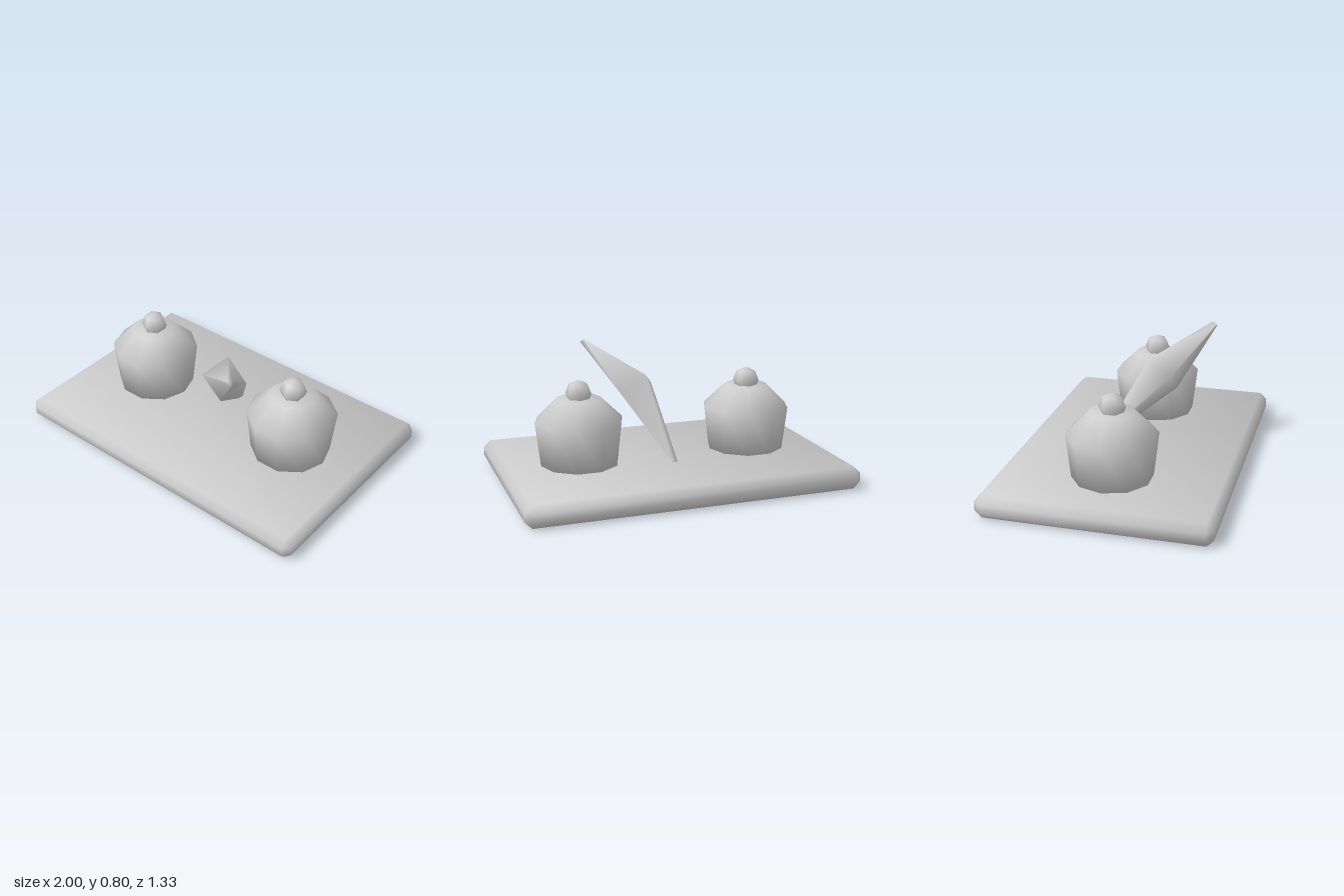
import * as THREE from 'three';
import { ConvexGeometry } from 'three/addons/geometries/ConvexGeometry.js';

const V = (x, y, z) => new THREE.Vector3(x, y, z);

// Slab with chamfered edges and soft normals
function chamferedSlab(half, bevel) {
  const points = [];
  for (const sx of [-1, 1]) for (const sy of [-1, 1]) for (const sz of [-1, 1])
    for (let axis = 0; axis < 3; axis++) {
      const p = half.clone().subScalar(bevel);
      p.setComponent(axis, half.getComponent(axis));
      points.push(p.multiply(V(sx, sy, sz)));
    }
  const geo = new ConvexGeometry(points);
  const pos = geo.attributes.position;
  for (let i = 0; i < pos.count; i++) {
    const n = V(0, 0, 0);
    for (let a = 0; a < 3; a++) {
      const c = pos.getComponent(i, a);
      const outer = Math.abs(c) > half.getComponent(a) - bevel / 2;
      n.setComponent(a, Math.sign(c) * (outer ? 3 : 1.28));
    }
    n.normalize();
    geo.attributes.normal.setXYZ(i, n.x, n.y, n.z);
  }
  return geo;
}

// Bent four-sided spindle: a full ring in the middle, small rings at the ends
function bentSpindle() {
  const middle = [V(0.02, 0.54, 0.2), V(0.1, 0.62, 0.05), V(0.25, 0.507, 0.07), V(0.173, 0.425, 0.212)];
  const centre = V(0.136, 0.523, 0.133);
  const rings = [[V(0.0, 0.135, -0.195), 0.15], [centre, 1], [V(0.397, 0.783, 0.397), 0.15]];
  const verts = [], index = [];
  for (const [c, s] of rings)
    for (const m of middle) verts.push(m.clone().sub(centre).multiplyScalar(s).add(c));
  for (let r = 0; r < 2; r++)
    for (let i = 0; i < 4; i++) {
      const a = r * 4 + i, b = r * 4 + (i + 1) % 4;
      index.push(a, a + 4, b, b, a + 4, b + 4);
    }
  index.push(0, 1, 2, 0, 2, 3, 8, 10, 9, 8, 11, 10);
  // Turn the faces outward if the ring runs the other way round
  const [p, q, s] = index.slice(0, 3).map((k) => verts[k]);
  const n = q.clone().sub(p).cross(s.clone().sub(p));
  const faceMid = p.clone().add(q).add(s).divideScalar(3);
  const axisMid = rings[0][0].clone().lerp(centre, 0.5);
  if (n.dot(faceMid.sub(axisMid)) < 0) index.reverse();
  const geo = new THREE.BufferGeometry().setFromPoints(verts);
  geo.setIndex(index);
  geo.computeVertexNormals();
  return geo;
}

export function createModel() {
  const model = new THREE.Group();
  const grey = new THREE.MeshStandardMaterial({ color: 0xcccccc });
  grey.name = 'light grey';

  const add = (name, geo, x = 0, y = 0, z = 0, parent = model) => {
    const mesh = new THREE.Mesh(geo, grey);
    mesh.name = name;
    mesh.position.set(x, y, z);
    parent.add(mesh);
  };

  // Tray
  add('tray', chamferedSlab(V(1, 0.0665, 0.667), 0.04), 0, 0.0665, 0);

  // Two ten-sided pots with round knobs
  const profile = [[0, 0.133], [0.235, 0.133], [0.265, 0.395], [0.133, 0.525], [0, 0.525]]
    .map(([r, y]) => new THREE.Vector2(r, y));
  const potGeo = new THREE.LatheGeometry(profile, 10, Math.PI / 2);
  const knobGeo = new THREE.SphereGeometry(0.08, 6, 4).rotateY(Math.PI / 6);
  for (const side of [-1, 1]) {
    const pot = new THREE.Group();
    pot.name = side > 0 ? 'leftPot' : 'rightPot';
    pot.position.x = side * 0.533;
    add('potBody', potGeo, 0, 0, 0, pot);
    add('potKnob', knobGeo, 0, 0.555, 0, pot);
    model.add(pot);
  }

  // Leaning spindle between the pots
  add('leaningSpindle', bentSpindle());
  return model;
}
